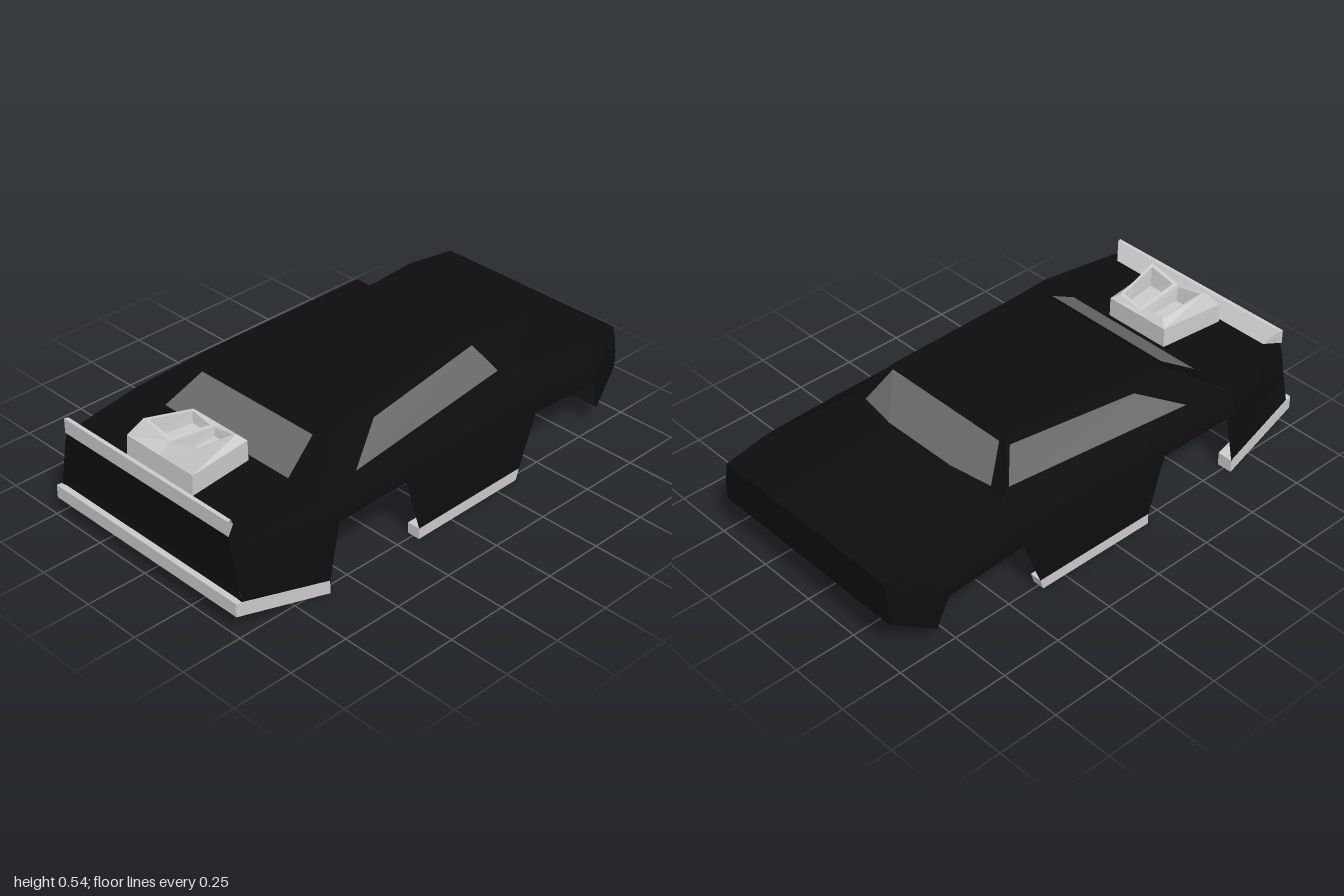
import * as THREE from 'three';

const paint = (color) => new THREE.MeshStandardMaterial({ color, flatShading: true, side: THREE.DoubleSide });
const black = paint(0x0d0d0d), glass = paint(0x6a6a6a), grey = paint(0xcccccc);

const flip = (row) => row.map(([x, y, z]) => [-x, y, z]);

// Skin a surface over rows of points; closed joins each row's end to its start, caps fill the first and last row.
function skin(name, rows, material, { closed = false, caps = false } = {}) {
  const pos = [];
  const tri = (a, b, c) => pos.push(...a, ...b, ...c);
  for (let i = 0; i + 1 < rows.length; i++) {
    const n = rows[i].length;
    for (let j = 0; j < (closed ? n : n - 1); j++) {
      const k = (j + 1) % n;
      const [a, b, c, d] = [rows[i][j], rows[i][k], rows[i + 1][k], rows[i + 1][j]];
      tri(a, b, c);
      tri(a, c, d);
    }
  }
  const fan = (p) => { for (let i = 1; i + 1 < p.length; i++) tri(p[0], p[i], p[i + 1]); };
  if (caps) { fan([...rows[0]].reverse()); fan(rows[rows.length - 1]); }
  if (rows.length === 1) fan(rows[0]);
  const geo = new THREE.BufferGeometry();
  geo.setAttribute('position', new THREE.Float32BufferAttribute(pos, 3));
  geo.computeVertexNormals();
  const mesh = new THREE.Mesh(geo, material);
  mesh.name = name;
  return mesh;
}

// Body flank: [z, bottom x, waist x, waist y, bevel x, bevel y, shoulder x, shoulder y]
const stations = [
  [0.975, 0.485, 0.457, 0.26, 0.445, 0.32, 0.43, 0.375],
  [0.615, 0.535, 0.535, 0.29, 0.525, 0.325, 0.497, 0.37],
  [-0.45, 0.523, 0.523, 0.29, 0.505, 0.335, 0.41, 0.39],
  [-0.79, 0.52, 0.52, 0.27, 0.5, 0.31, 0.46, 0.368],
  [-1, 0.45, 0.45, 0.25, 0.445, 0.3, 0.43, 0.36],
];
// Lower edge with both wheel arches: [z, y]
const lowerEdge = [[0.975, 0.13], [0.615, 0.05], [0.57, 0.28], [0.24, 0.28], [0.17, 0.045],
  [-0.37, 0.045], [-0.45, 0.255], [-0.79, 0.235], [-0.835, 0.1], [-1, 0.19]];

function flankRow([z, y]) {
  let i = 0;
  while (i < stations.length - 2 && z < stations[i + 1][0]) i++;
  const a = stations[i], b = stations[i + 1];
  const t = (z - a[0]) / (b[0] - a[0]);
  const [, x0, x1, y1, x2, y2, x3, y3] = a.map((v, k) => v + (b[k] - v) * t);
  return [[x0, y, z], [x1, y1, z], [x2, y2, z], [x3, y3, z]];
}

// Symmetric outline from its right half
const whole = (half) => [...half, ...flip(half).reverse()];

// Black panel with an opening, and optionally something filling it
function framed(group, name, outer, inner, fillName, fillMaterial) {
  group.add(skin(name, [outer, inner], black, { closed: true }));
  if (fillName) group.add(skin(fillName, [inner], fillMaterial));
}

function buildBody() {
  const body = new THREE.Group();
  body.name = 'body';
  const flank = lowerEdge.map(flankRow);
  body.add(skin('leftFlank', flank, black));
  body.add(skin('rightFlank', flank.map(flip).reverse(), black));

  // Front panel, slightly recessed
  framed(body, 'frontPanelFrame',
    whole([[0.485, 0.13, 0.975], [0.43, 0.375, 0.975]]),
    whole([[0.465, 0.15, 0.965], [0.418, 0.362, 0.965]]), 'frontPanel', black);

  // Hood, open beneath the scoop
  framed(body, 'hood',
    whole([[0.43, 0.375, 0.975], [0.497, 0.37, 0.615]]),
    whole([[0.172, 0.373, 0.9], [0.143, 0.372, 0.633]]));

  // Cabin
  const roofFront = [0.35, 0.5, 0.41], roofBack = [0.295, 0.54, -0.33];
  const beltFront = [0.497, 0.37, 0.615], beltBack = [0.41, 0.39, -0.45];
  body.add(skin('roof', [whole([roofFront, roofBack])], black));
  framed(body, 'windscreenFrame', whole([beltFront, roofFront]),
    whole([[0.325, 0.375, 0.61], [0.29, 0.468, 0.46]]), 'windscreen', glass);
  framed(body, 'rearWindowFrame',
    whole([[0.165, 0.408, -0.478], beltBack, roofBack]),
    whole([[0.165, 0.414, -0.47], [0.34, 0.405, -0.435], [0.285, 0.524, -0.345]]), 'rearWindow', glass);
  const side = [beltFront, beltBack, roofBack, roofFront];
  const pane = [[0.462, 0.382, 0.42], [0.382, 0.402, -0.39], [0.312, 0.51, -0.32], [0.367, 0.475, 0.24]];
  framed(body, 'leftCabinSide', side, pane, 'leftWindow', glass);
  framed(body, 'rightCabinSide', flip(side).reverse(), flip(pane).reverse(), 'rightWindow', glass);

  // Rear deck with a slight crown, and the tail with its undercut
  body.add(skin('rearDeck', [
    whole([beltBack, [0.165, 0.408, -0.478]]),
    whole([[0.46, 0.368, -0.79], [0.165, 0.382, -0.79]]),
    whole([[0.43, 0.36, -1], [0.165, 0.36, -1]]),
  ], black));
  const tail = [[0.43, 0.36, -1], [0.445, 0.3, -1], [0.45, 0.25, -1], [0.45, 0.19, -1], [0.505, 0.1, -0.835]];
  body.add(skin('tailPanel', [tail, flip(tail)], black));
  return body;
}

function buildTrim() {
  const trim = new THREE.Group();
  trim.name = 'trim';
  const solid = { closed: true, caps: true };

  // Front lip wrapping round both corners
  const lipEnd = [[0.535, 0, 0.615], [0.535, 0.055, 0.615], [0.47, 0.055, 0.615], [0.47, 0, 0.615]];
  const lipCorner = [[0.485, 0.08, 1], [0.485, 0.135, 1], [0.44, 0.13, 0.95], [0.44, 0.075, 0.95]];
  trim.add(skin('frontLip', [lipEnd, lipCorner, flip(lipCorner), flip(lipEnd)], grey, solid));

  // Side sills
  const sill = (z, top, x) => [[x, 0, z], [x, 0.046, top], [0.475, 0.046, top], [0.475, 0, z]];
  const sillRows = [sill(0.17, 0.17, 0.53), sill(-0.355, -0.37, 0.524)];
  trim.add(skin('leftSill', sillRows, grey, solid));
  trim.add(skin('rightSill', sillRows.map(flip).reverse(), grey, solid));

  // Raised wing along the nose
  const wing = [[0.435, 0.373, 0.978], [0.435, 0.433, 0.978], [0.43, 0.433, 0.962], [0.392, 0.374, 0.92]];
  trim.add(skin('noseWing', [wing, flip(wing)], grey, solid));
  return trim;
}

function buildScoop() {
  const scoop = new THREE.Group();
  scoop.name = 'hoodScoop';
  const ring = (fx, fy, fz, bx, by, bz, cf = fy, cb = by) =>
    [[-fx, fy, fz], [0, cf, fz], [fx, fy, fz], [bx, by, bz], [0, cb, bz], [-bx, by, bz]];
  const top = ring(0.14, 0.515, 0.855, 0.112, 0.475, 0.652, 0.485, 0.457);
  scoop.add(skin('scoopHousing', [
    ring(0.175, 0.372, 0.91, 0.145, 0.372, 0.63),
    ring(0.173, 0.453, 0.905, 0.143, 0.453, 0.63),
    top,
  ], grey, { closed: true }));

  // Twin intakes sunk into the V-shaped top
  const [, cf, of, ob, cb] = top;
  const mix = (a, b, t) => a.map((v, i) => v + (b[i] - v) * t);
  const at = (u, v) => mix(mix(cf, of, u), mix(cb, ob, u), v);
  const mouth = [at(0.1, 0.07), at(0.92, 0.07), at(0.92, 0.94), at(0.1, 0.94)];
  const floor = [at(0.16, 0.14), at(0.86, 0.14), at(0.86, 0.9), at(0.16, 0.9)].map(([x, , z]) => [x, 0.432, z]);
  const rows = [[cf, of, ob, cb], mouth, floor];
  for (const [name, r] of [['left', rows], ['right', rows.map((p) => flip(p).reverse())]]) {
    scoop.add(skin(name + 'Intake', r, grey, { closed: true }));
    scoop.add(skin(name + 'IntakeFloor', [r[2]], grey));
  }
  return scoop;
}

export function createModel() {
  const model = new THREE.Group();
  model.name = 'carBodyShell';
  model.add(buildBody(), buildTrim(), buildScoop());
  return model;
}
